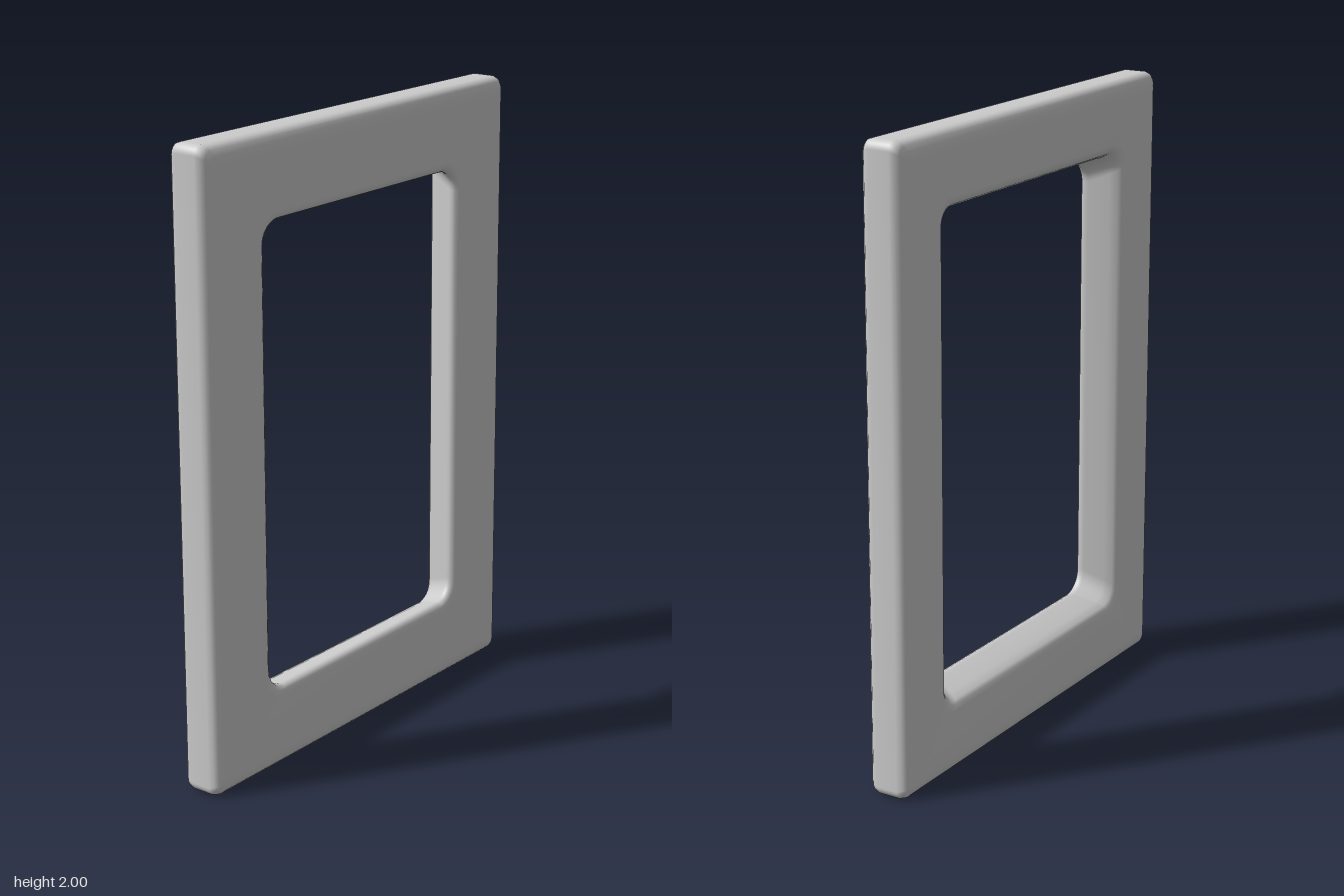
import * as THREE from 'three';

const HALF_W = 0.743, HALF_H = 1, CORNER_STEPS = 8;

// Rounded rectangle, counter-clockwise, inset from the outer outline
function ring(inset, radius) {
  const points = [];
  const w = HALF_W - inset - radius, h = HALF_H - inset - radius;
  [[1, 1], [-1, 1], [-1, -1], [1, -1]].forEach(([sx, sy], corner) => {
    for (let i = 0; i <= CORNER_STEPS; i++) {
      const a = (corner + i / CORNER_STEPS) * Math.PI / 2;
      points.push([sx * w + radius * Math.cos(a), sy * h + radius * Math.sin(a)]);
    }
  });
  return points;
}

// Bar cross-section: [inset from outline, z, corner radius]
const section = [
  // outer wall, back to front
  [0.035, -0.069, 0.02], [0.016, -0.063, 0.025], [0.005, -0.052, 0.03], [0, -0.035, 0.03],
  [0, 0.035, 0.03], [0.005, 0.052, 0.03], [0.016, 0.063, 0.025], [0.035, 0.068, 0.02],
  // front face to the opening
  [0.06, 0.069, 0.02], [0.235, 0.068, 0.085], [0.25, 0.066, 0.08],
  [0.26, 0.06, 0.075], [0.265, 0.049, 0.07], [0.262, 0.035, 0.07],
  // opening splayed wider towards the back
  [0.24, -0.03, 0.065], [0.227, -0.055, 0.065], [0.217, -0.064, 0.065],
  [0.2, -0.069, 0.065], [0.06, -0.07, 0.02],
];

function frameGeometry() {
  const positions = [], index = [];
  const n = 4 * (CORNER_STEPS + 1), m = section.length;
  section.forEach(([inset, z, radius], j) => {
    ring(inset, radius).forEach(([x, y], k) => {
      // slight hand-made lean
      positions.push(x - 0.006 * y, y + HALF_H, z);
      const k2 = (k + 1) % n, j2 = (j + 1) % m;
      const a = j * n + k, b = j * n + k2, c = j2 * n + k2, d = j2 * n + k;
      index.push(a, b, c, a, c, d);
    });
  });
  const geometry = new THREE.BufferGeometry();
  geometry.setAttribute('position', new THREE.Float32BufferAttribute(positions, 3));
  geometry.setIndex(index);
  geometry.computeVertexNormals();
  return geometry;
}

export function createModel() {
  const group = new THREE.Group();
  group.name = 'pictureFrame';
  const frame = new THREE.Mesh(frameGeometry(), new THREE.MeshStandardMaterial({ color: 0xcccccc }));
  frame.name = 'frame';
  group.add(frame);
  return group;
}
